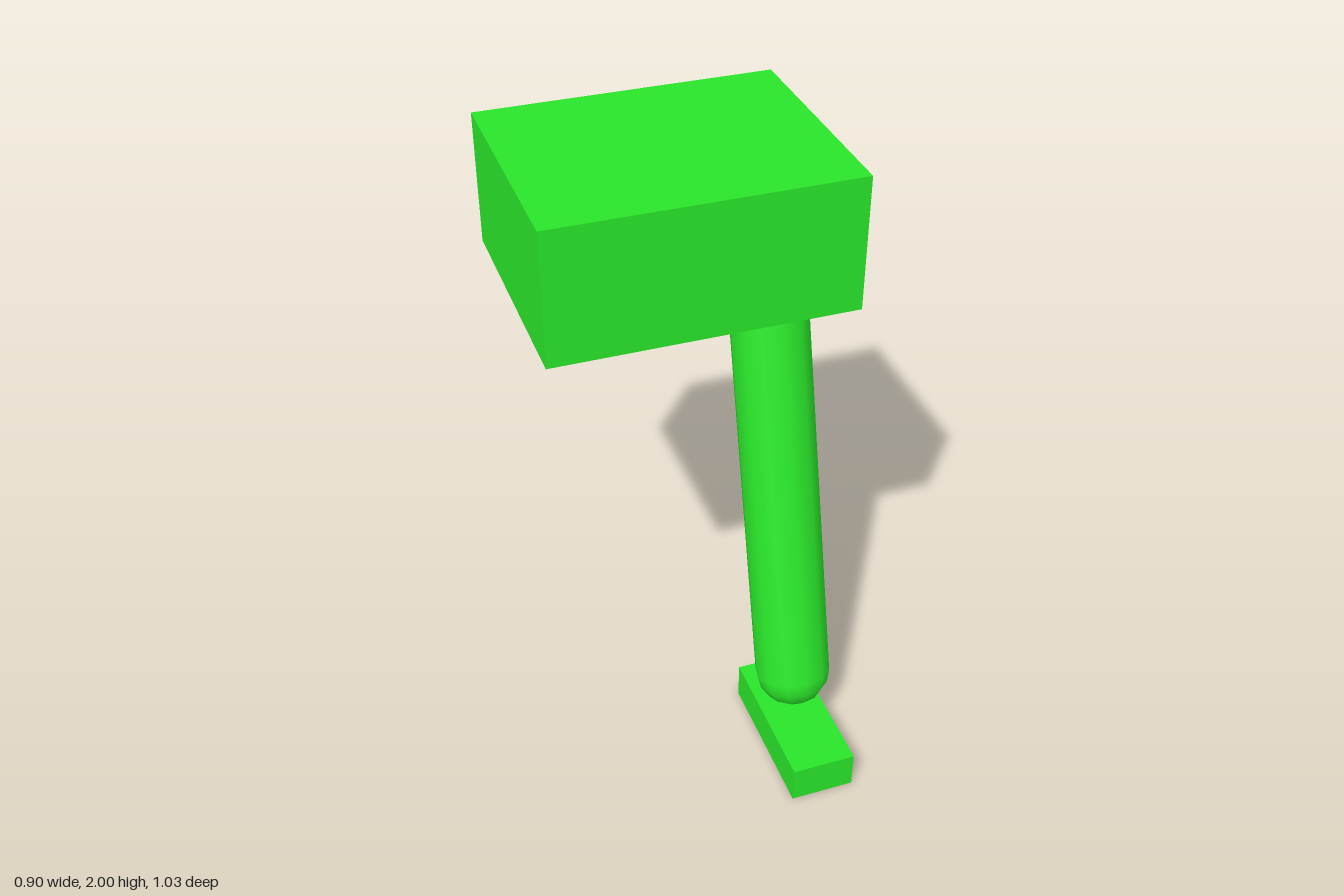
import * as THREE from 'three';

export function createModel() {
  const model = new THREE.Group();
  const green = new THREE.MeshStandardMaterial({ color: 0x2ae62a });

  const add = (name, geometry, x, y, z) => {
    const mesh = new THREE.Mesh(geometry, green);
    mesh.name = name;
    mesh.position.set(x, y, z);
    model.add(mesh);
    return mesh;
  };

  // Hip block on top
  add('hipBlock', new THREE.BoxGeometry(0.9, 0.405, 0.717), 0, 1.7975, -0.157);

  // Twelve-sided capsule leg, leaning back from ankle to hip
  const ankle = new THREE.Vector3(0.312, 0.237, 0.186);
  const hip = new THREE.Vector3(0.312, 1.58, -0.174);
  const axis = hip.clone().sub(ankle);
  const middle = ankle.clone().add(hip).multiplyScalar(0.5);
  const leg = add('leg', new THREE.CapsuleGeometry(0.122, axis.length(), 4, 12), middle.x, middle.y, middle.z);
  leg.rotation.x = Math.atan2(axis.z, axis.y);

  // Flat foot pointing forward
  add('foot', new THREE.BoxGeometry(0.204, 0.125, 0.49), 0.292, 0.0625, 0.27);

  return model;
}
